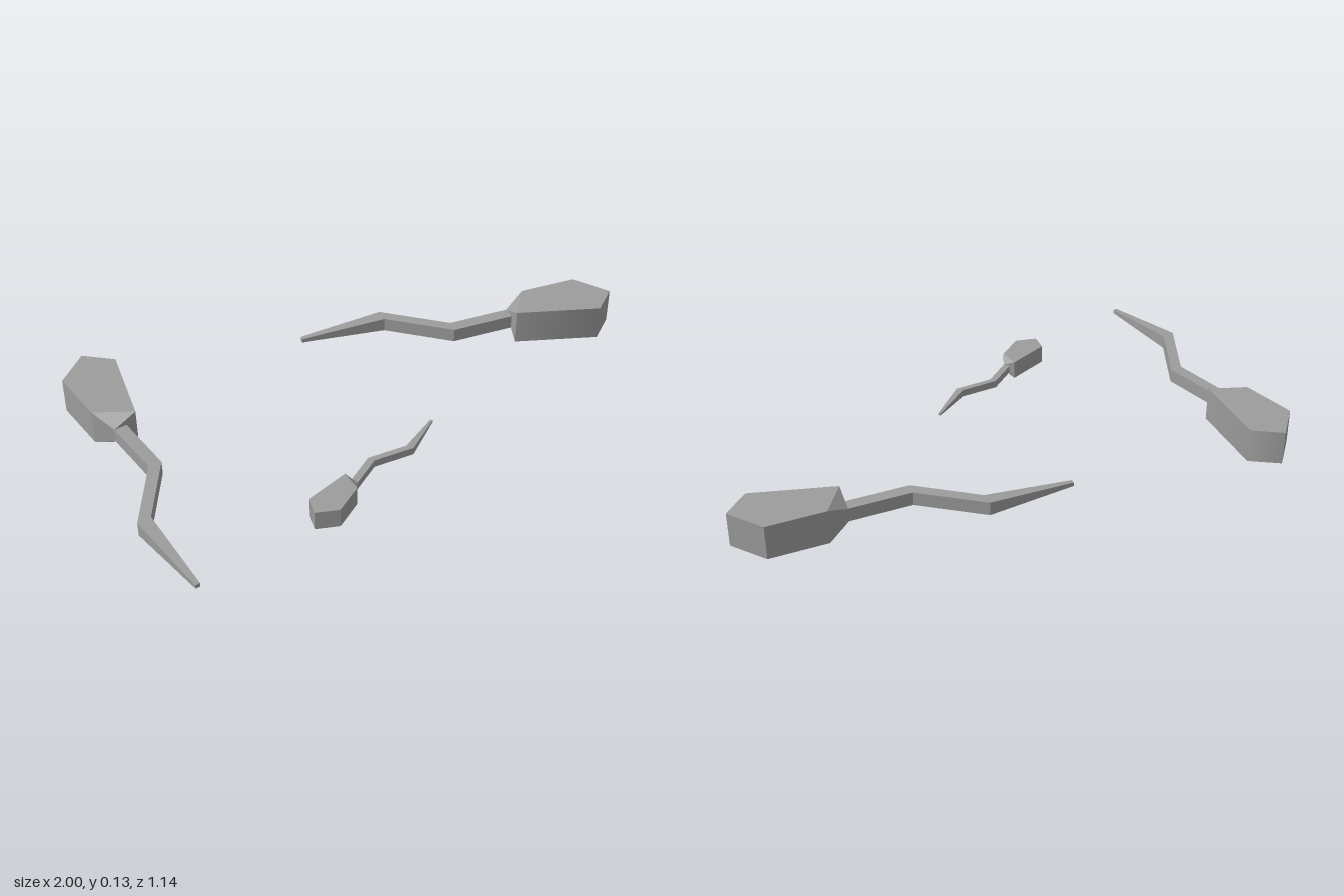
import * as THREE from 'three';

const material = new THREE.MeshStandardMaterial({ color: 0x9c9c9c });

// Head outline in plan [x, z]; the origin is where the tail leaves the neck
const HEAD = [[-0.06, -0.29], [0.06, -0.38], [0.145, -0.293], [0.06, 0], [-0.06, -0.08]];

// Tail cross-sections: [x1, z1, x2, z2, half height]
const TAIL = [
  [-0.06, -0.08, 0.06, 0, 0.0635],
  [-0.022, 0, 0.023, 0, 0.025],
  [-0.022, 0.225, 0.023, 0.23, 0.025],
  [-0.18, 0.436, -0.132, 0.436, 0.025],
  [-0.164, 0.749, -0.148, 0.749, 0.007],
];

function headGeometry() {
  const shape = new THREE.Shape(HEAD.map(([x, z]) => new THREE.Vector2(x, -z)));
  const geo = new THREE.ExtrudeGeometry(shape, { depth: 0.127, bevelEnabled: false });
  geo.rotateX(-Math.PI / 2).translate(0, -0.0635, 0);
  // Soften the upright edge at the widest corner
  const { position, normal } = geo.attributes;
  for (let i = 0; i < position.count; i++) {
    if (position.getX(i) > 0.14 && Math.abs(normal.getY(i)) < 0.5) normal.setXYZ(i, 0.97, 0, -0.243);
  }
  return geo;
}

// Loft of rectangular sections, closed at the tip
function tailGeometry() {
  const positions = [], index = [];
  TAIL.forEach(([x1, z1, x2, z2, h], i) => {
    positions.push(x1, -h, z1, x2, -h, z2, x2, h, z2, x1, h, z1);
    if (i === 0) return;
    for (let k = 0; k < 4; k++) {
      const a = (i - 1) * 4 + k, b = (i - 1) * 4 + (k + 1) % 4;
      index.push(a, b, b + 4, a, b + 4, a + 4);
    }
  });
  const e = (TAIL.length - 1) * 4;
  index.push(e, e + 1, e + 2, e, e + 2, e + 3);
  const geo = new THREE.BufferGeometry();
  geo.setAttribute('position', new THREE.Float32BufferAttribute(positions, 3));
  geo.setIndex(index);
  const flat = geo.toNonIndexed();
  flat.computeVertexNormals();
  return flat;
}

export function createModel() {
  const model = new THREE.Group();
  model.name = 'tadpoles';
  const head = headGeometry(), tail = tailGeometry();

  // Three copies: [name, x, y, z, turn, scale]
  const copies = [
    ['tadpoleRight', -0.82, 0.0635, -0.19, 0, 1],
    ['tadpoleLeft', 0.644, 0.0635, 0.058, -1.818, 1],
    ['tadpoleSmall', -0.345, 0.0625, 0.467, 2.047, 0.536],
  ];
  for (const [name, x, y, z, turn, scale] of copies) {
    const tadpole = new THREE.Group();
    tadpole.name = name;
    for (const [part, geo] of [['head', head], ['tail', tail]]) {
      const mesh = new THREE.Mesh(geo, material);
      mesh.name = part;
      tadpole.add(mesh);
    }
    tadpole.position.set(x, y, z);
    tadpole.rotation.y = turn;
    tadpole.scale.setScalar(scale);
    model.add(tadpole);
  }
  return model;
}
